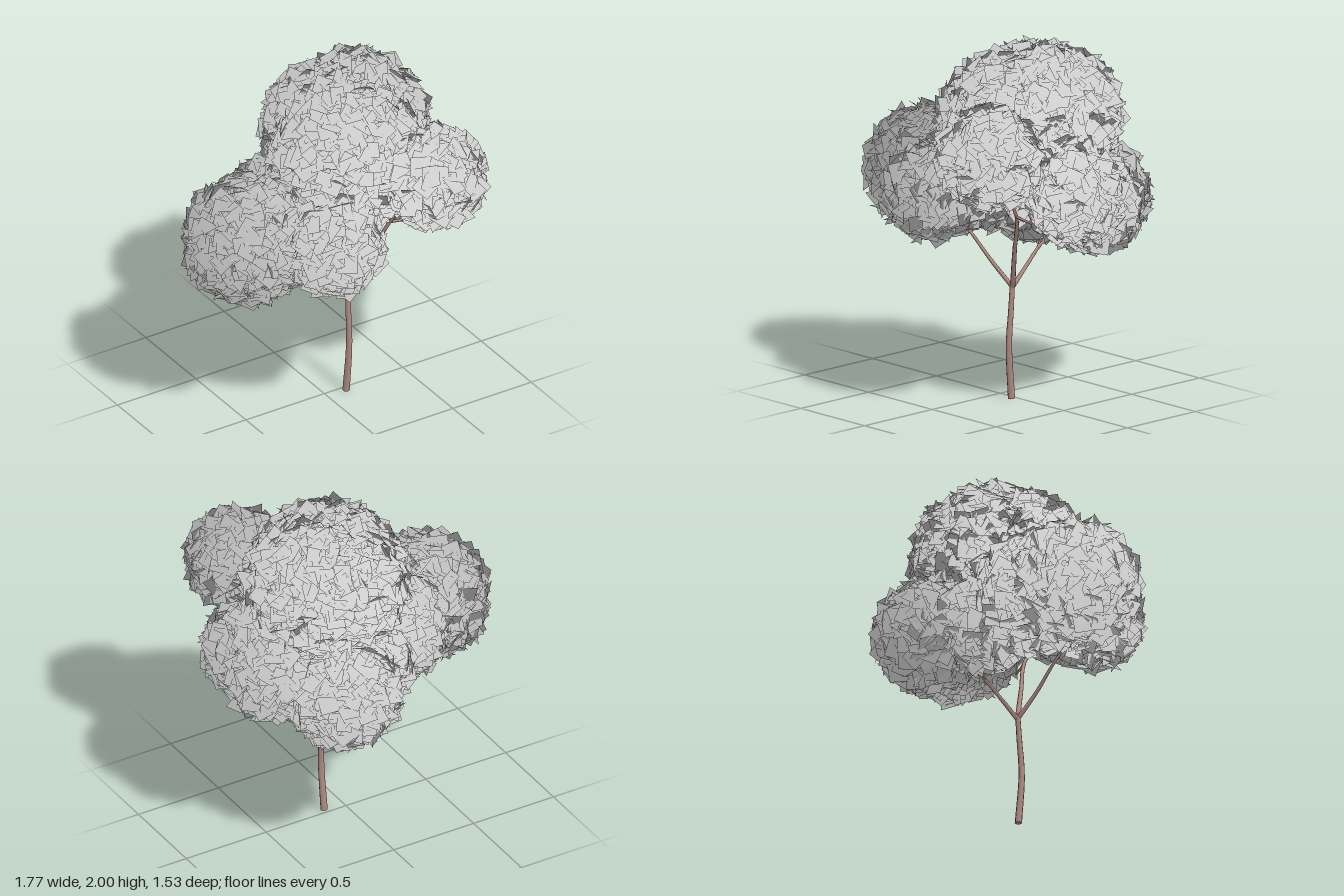
import * as THREE from 'three';

const V = (x, y, z) => new THREE.Vector3(x, y, z);

// Small seeded random generator
function seeded(seed) {
  let s = seed;
  return () => {
    s = (s * 1664525 + 1013904223) % 4294967296;
    return s / 4294967296;
  };
}

// Tube along points whose radius shrinks from r0 to r1
function taperedTube(name, points, r0, r1, material) {
  const segments = 10, sides = 7;
  const curve = new THREE.CatmullRomCurve3(points.map((p) => V(...p)));
  const geometry = new THREE.TubeGeometry(curve, segments, 1, sides);
  const pos = geometry.attributes.position;
  const v = V(0, 0, 0);
  for (let i = 0; i <= segments; i++) {
    const centre = curve.getPointAt(i / segments);
    const r = THREE.MathUtils.lerp(r0, r1, i / segments);
    for (let j = 0; j <= sides; j++) {
      const k = i * (sides + 1) + j;
      v.fromBufferAttribute(pos, k).sub(centre).multiplyScalar(r).add(centre);
      pos.setXYZ(k, v.x, v.y, v.z);
    }
  }
  const mesh = new THREE.Mesh(geometry, material);
  mesh.name = name;
  return mesh;
}

// Ball of overlapping square leaf cards, shaded outward from the fork of the tree
function leafClump(name, [cx, cy, cz, radius], seed, material) {
  const random = seeded(seed);
  const fork = V(0.12, 0.75, 0.03);
  const centre = V(cx, cy, cz);
  const count = Math.round(6500 * radius * radius);
  const positions = [], normals = [], index = [];
  const card = new THREE.Object3D();
  const corner = V(0, 0, 0);
  for (let i = 0; i < count; i++) {
    // Even spread over the ball
    const y = 1 - (2 * (i + 0.5)) / count;
    const a = i * 2.39996 + random() * 0.4;
    const h = Math.sqrt(1 - y * y);
    const out = V(h * Math.cos(a), y, h * Math.sin(a));
    card.position.copy(centre).addScaledVector(out, radius - 0.015 - random() * 0.045);
    card.lookAt(card.position.clone().add(out));
    card.rotateZ(random() * Math.PI * 2);
    card.rotateX((random() - 0.5) * 1.6);
    card.rotateY((random() - 0.5) * 1.6);
    card.updateMatrix();
    const size = 0.039 + random() * 0.016;
    const n = card.position.clone().sub(fork).normalize();
    for (const [u, w] of [[-1, -1], [1, -1], [1, 1], [-1, 1]]) {
      corner.set(u * size, w * size, 0).applyMatrix4(card.matrix);
      positions.push(corner.x, corner.y, corner.z);
      normals.push(n.x, n.y, n.z);
    }
    const k = i * 4;
    index.push(k, k + 1, k + 2, k, k + 2, k + 3);
  }
  const geometry = new THREE.BufferGeometry();
  geometry.setAttribute('position', new THREE.Float32BufferAttribute(positions, 3));
  geometry.setAttribute('normal', new THREE.Float32BufferAttribute(normals, 3));
  geometry.setIndex(index);
  const mesh = new THREE.Mesh(geometry, material);
  mesh.name = name;
  return mesh;
}

export function createModel() {
  const tree = new THREE.Group();
  tree.name = 'tree';
  const bark = new THREE.MeshStandardMaterial({ color: 0xb08c82 });
  const leaves = new THREE.MeshStandardMaterial({ color: 0xcccccc, side: THREE.DoubleSide });

  // Trunk, branches and twigs
  const wood = [
    ['trunk', [[0.12, 0, 0.03], [0.125, 0.3, 0.053], [0.128, 0.5, 0.04], [0.128, 0.65, 0.03]], 0.02, 0.014],
    ['leftBranch', [[0.13, 0.62, 0.03], [0.04, 0.76, 0.1], [-0.06, 0.9, 0.15], [-0.13, 1.0, 0.2]], 0.013, 0.007],
    ['rightBranch', [[0.13, 0.62, 0.03], [0.22, 0.85, 0.1], [0.31, 1.07, 0.17], [0.34, 1.23, 0.29]], 0.015, 0.008],
    ['backBranch', [[0.13, 0.62, 0.03], [0.13, 0.72, -0.07], [0.13, 0.83, -0.19], [0.17, 0.9, -0.27]], 0.013, 0.007],
    ['rightTwig', [[0.31, 1.07, 0.17], [0.38, 1.07, 0.19], [0.47, 1.065, 0.2]], 0.009, 0.006],
    ['backTwig', [[0.13, 0.8, -0.15], [0.11, 0.83, -0.19], [0.08, 0.88, -0.24]], 0.007, 0.004],
  ];
  for (const [name, points, r0, r1] of wood) tree.add(taperedTube(name, points, r0, r1, bark));

  // Flat cap under the trunk
  const base = new THREE.Mesh(new THREE.CircleGeometry(0.02, 7), bark);
  base.name = 'trunkBase';
  base.rotation.x = Math.PI / 2;
  base.position.set(0.12, 0.001, 0.03);
  tree.add(base);

  // Foliage clumps: centre and radius
  const clumps = {
    topFoliage: [0.13, 1.5, 0.01, 0.44],
    upperBackFoliage: [0.28, 1.58, -0.12, 0.385],
    upperInnerFoliage: [0.12, 1.56, -0.12, 0.385],
    outerFoliage: [-0.51, 1.16, 0.04, 0.355],
    innerBackFoliage: [-0.25, 1.17, -0.08, 0.33],
    lowBackFoliage: [0.02, 1.09, -0.23, 0.28],
    lowFrontFoliage: [-0.15, 1.16, 0.33, 0.28],
    highFrontFoliage: [0.41, 1.47, 0.46, 0.285],
    sideFoliage: [0.59, 1.22, 0, 0.27],
    sideBackFoliage: [0.56, 1.15, -0.15, 0.275],
    backFoliage: [0.27, 1.07, -0.43, 0.315],
  };
  Object.entries(clumps).forEach(([name, ball], i) => tree.add(leafClump(name, ball, 17 + i * 101, leaves)));

  return tree;
}
